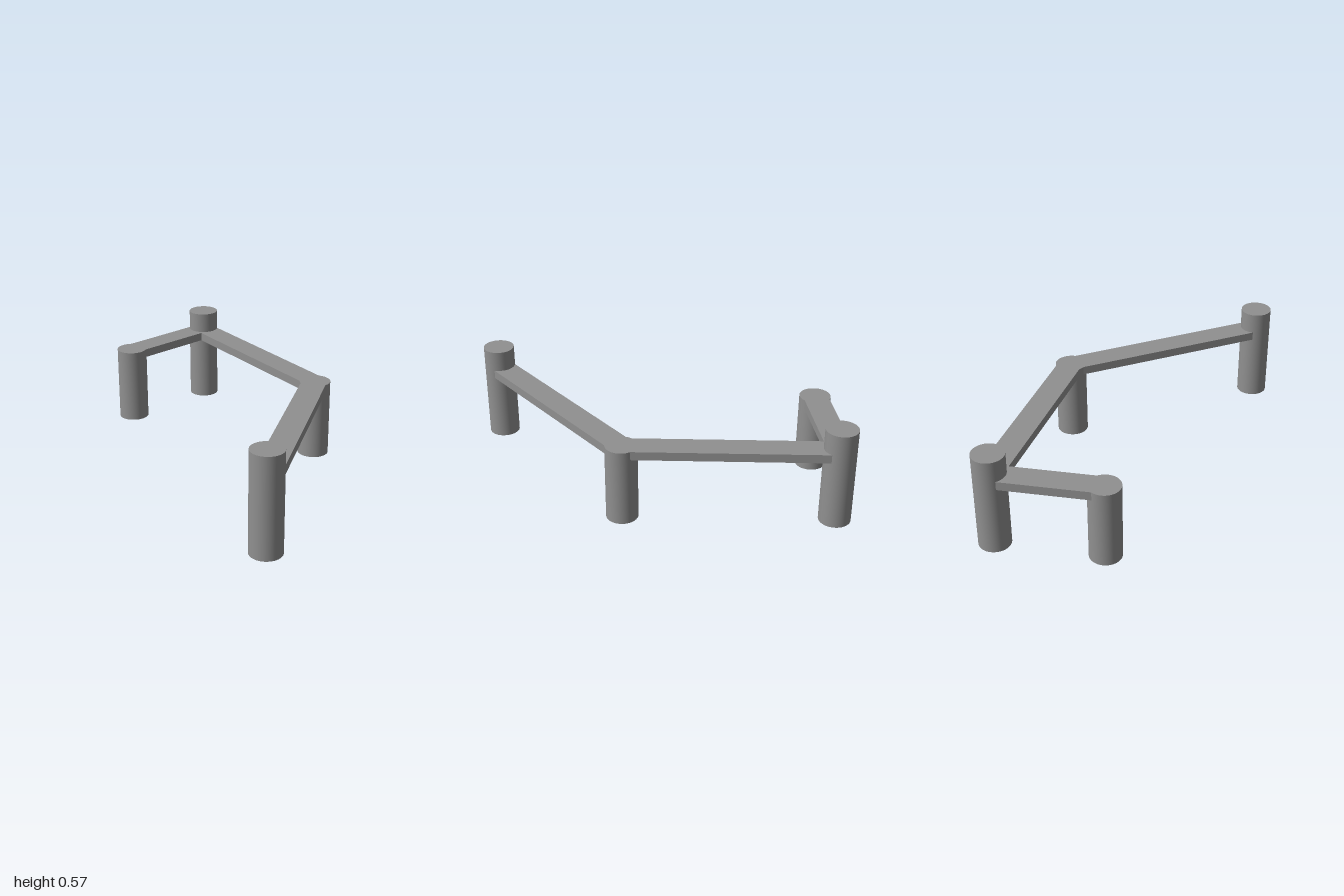
import * as THREE from 'three';
import { toCreasedNormals } from 'three/addons/utils/BufferGeometryUtils.js';

const POST_RADIUS = 0.09;
const HOLE_RADIUS = 0.025;
const HOLE_DEPTH = 0.3;
const RAIL_TOP = 0.45;
const RAIL_HEIGHT = 0.05;
const RAIL_WIDTH = 0.145;

// Post positions in order along the rail, with their heights
const POSTS = [
  { name: 'rightFrontPost', x: -0.91, z: 0, height: RAIL_TOP },
  { name: 'rightBackPost', x: -0.91, z: -0.6, height: 0.57 },
  { name: 'middleBackPost', x: 0.25, z: -0.44, height: RAIL_TOP },
  { name: 'leftFrontPost', x: 0.91, z: 0.6, height: 0.57 },
];

// Round post with a blind hole drilled up from its foot
function makePost({ name, x, z, height }, material) {
  const profile = [
    [0, HOLE_DEPTH], [HOLE_RADIUS, HOLE_DEPTH], [HOLE_RADIUS, 0],
    [POST_RADIUS, 0], [POST_RADIUS, height], [0, height],
  ].map(([r, y]) => new THREE.Vector2(r, y));
  const geometry = toCreasedNormals(new THREE.LatheGeometry(profile, 48), Math.PI / 5);
  const post = new THREE.Mesh(geometry, material);
  post.name = name;
  post.position.set(x, 0, z);
  return post;
}

// Flat rail running between the centres of two posts
function makeRail(a, b, name, material) {
  const dx = b.x - a.x, dz = b.z - a.z;
  const geometry = new THREE.BoxGeometry(Math.hypot(dx, dz), RAIL_HEIGHT, RAIL_WIDTH);
  const rail = new THREE.Mesh(geometry, material);
  rail.name = name;
  rail.position.set((a.x + b.x) / 2, RAIL_TOP - RAIL_HEIGHT / 2, (a.z + b.z) / 2);
  rail.rotation.y = -Math.atan2(dz, dx);
  return rail;
}

export function createModel() {
  const group = new THREE.Group();
  group.name = 'postAndRailFrame';
  const grey = new THREE.MeshStandardMaterial({ color: 0x909090 });
  grey.name = 'grey';

  POSTS.forEach((post) => group.add(makePost(post, grey)));
  ['rightRail', 'backRail', 'leftRail'].forEach((name, i) =>
    group.add(makeRail(POSTS[i], POSTS[i + 1], name, grey)));
  return group;
}
